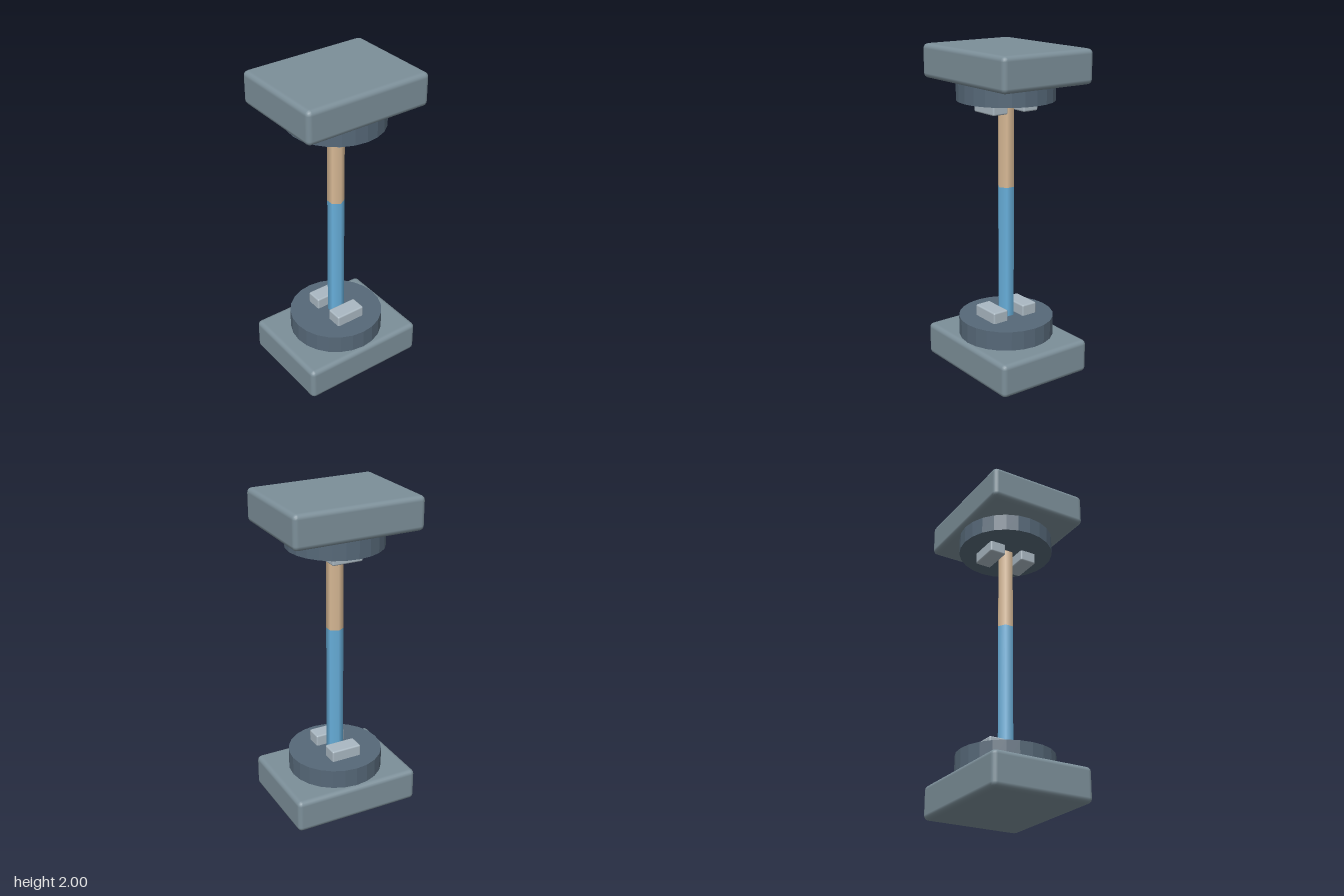
import * as THREE from 'three';
import { RoundedBoxGeometry } from 'three/addons/geometries/RoundedBoxGeometry.js';

const material = (name, color) => {
  const m = new THREE.MeshStandardMaterial({ color });
  m.name = name;
  return m;
};

export function createModel() {
  const slate = material('slate grey', 0x7c8f99);
  const steel = material('dark steel', 0x566878);
  const silver = material('pale silver', 0xaab8c2);
  const blue = material('sky blue', 0x68b0dc);
  const tan = material('tan', 0xd9ba96);
  slate.flatShading = false;
  steel.flatShading = true;

  const model = new THREE.Group();
  model.name = 'column';
  const add = (parent, name, geometry, mat, x, y, z) => {
    const mesh = new THREE.Mesh(geometry, mat);
    mesh.name = name;
    mesh.position.set(x, y, z);
    parent.add(mesh);
    return mesh;
  };
  // Vertical piece spanning two heights
  const cylinder = (radius, y0, y1, sides) =>
    new THREE.CylinderGeometry(radius, radius, y1 - y0, sides);

  // Each end: block, round flange and a pair of clamps
  const ends = [
    { name: 'lower', block: [0, 0.21], flange: [0.2, 0.33], clamp: [0.32, 0.4] },
    { name: 'upper', block: [1.795, 2], flange: [1.687, 1.8], clamp: [1.617, 1.7] },
  ];
  for (const end of ends) {
    const group = new THREE.Group();
    group.name = end.name + 'End';
    model.add(group);
    const mid = ([a, b]) => (a + b) / 2;
    const size = ([a, b]) => b - a;
    add(group, 'block', new RoundedBoxGeometry(0.82, size(end.block), 0.64, 2, 0.03),
      slate, 0, mid(end.block), 0);
    add(group, 'flange', cylinder(0.295, ...end.flange, 24), steel, 0, mid(end.flange), 0);
    for (const side of [1, -1]) {
      add(group, 'clamp', new RoundedBoxGeometry(0.196, size(end.clamp), 0.105, 2, 0.01),
        silver, 0, mid(end.clamp), side * 0.11);
    }
  }

  // Six-sided rod in two colours
  add(model, 'lowerRod', cylinder(0.052, 0.3, 1.16, 6), blue, 0, 0.73, 0);
  add(model, 'upperRod', cylinder(0.052, 1.16, 1.72, 6), tan, 0, 1.44, 0);
  return model;
}
